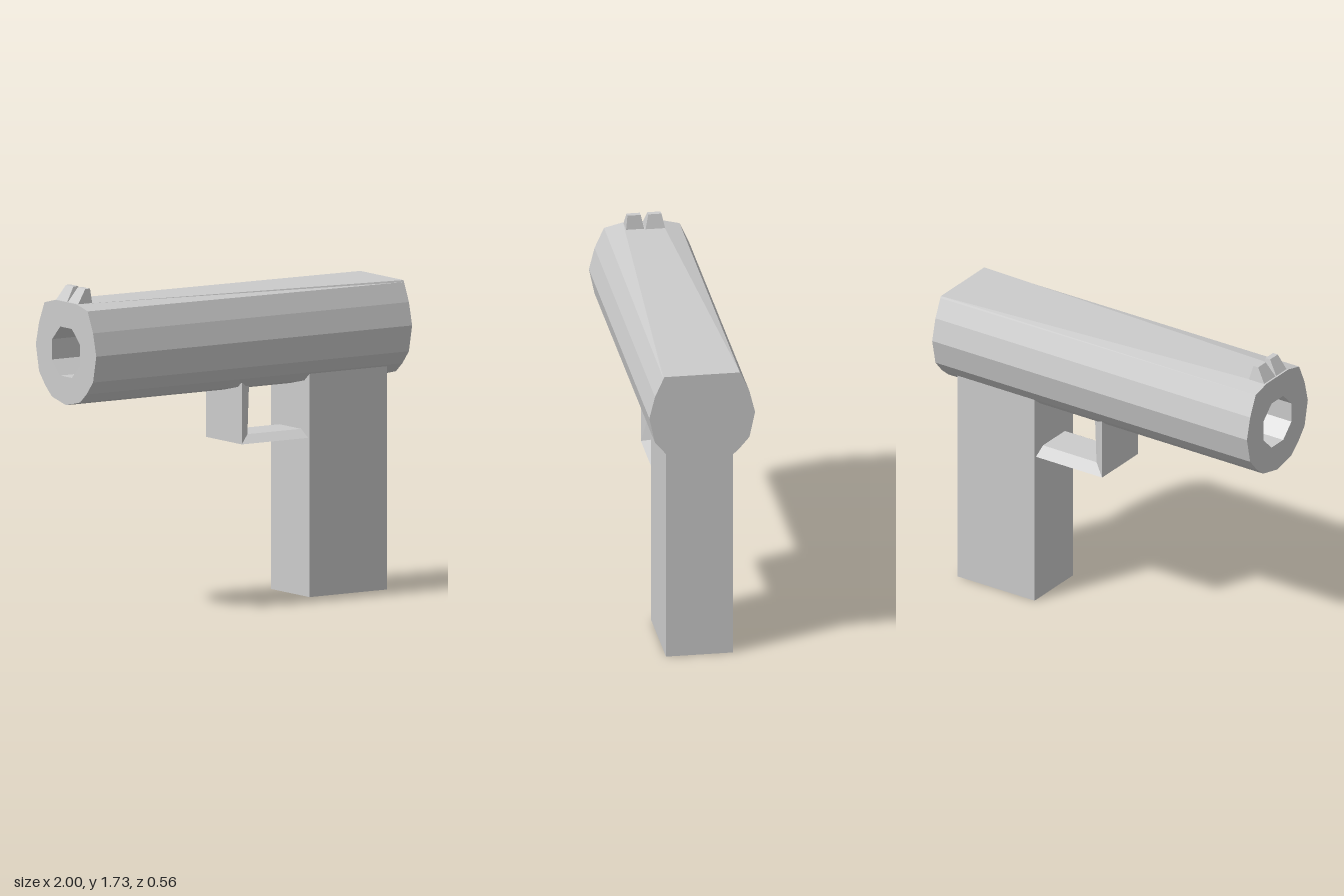
import * as THREE from 'three';

const material = new THREE.MeshStandardMaterial({ color: 0xcccccc, flatShading: true });

// Skin a list of equal-length rings of [x, y, z] points and close both ends.
function loft(name, rings) {
  const pos = [];
  const tri = (a, b, c) => pos.push(...a, ...b, ...c);
  const n = rings[0].length;
  const centre = (ring) => [0, 1, 2].map((k) => ring.reduce((s, p) => s + p[k], 0) / n);
  const first = rings[0], last = rings[rings.length - 1];
  const c0 = centre(first), c1 = centre(last);
  for (let i = 0; i < n; i++) {
    const j = (i + 1) % n;
    for (let k = 0; k + 1 < rings.length; k++) {
      const a = rings[k], b = rings[k + 1];
      tri(a[i], b[i], a[j]);
      tri(a[j], b[i], b[j]);
    }
    tri(c0, first[i], first[j]);
    tri(c1, last[j], last[i]);
  }
  const geometry = new THREE.BufferGeometry();
  geometry.setAttribute('position', new THREE.Float32BufferAttribute(pos, 3));
  geometry.computeVertexNormals();
  const mesh = new THREE.Mesh(geometry, material);
  mesh.name = name;
  return mesh;
}

// Mirror a half profile of [z, y] points, bottom to top, into a full ring at x.
function ringAt(x, half) {
  const left = half.map(([z, y]) => [x, y, z]);
  const right = half.slice(1, -1).reverse().map(([z, y]) => [x, y, -z]);
  return [...left, ...right];
}

// Eight-sided bore ring with a point at every corner and every edge middle.
function boreAt(x, radius = 0.14, y = 1.39) {
  return Array.from({ length: 16 }, (_, i) => {
    const a = (i / 16) * Math.PI * 2;
    const r = i % 2 ? radius : radius * Math.cos(Math.PI / 8);
    return [x, y - r * Math.cos(a), r * Math.sin(a)];
  });
}

export function createModel() {
  const model = new THREE.Group();
  model.name = 'pistol';

  // Barrel: hollow at the muzzle, its flat top widening towards the rear
  const lower = [[0, 1.11], [0.13, 1.14], [0.19, 1.19], [0.25, 1.26], [0.28, 1.4], [0.25, 1.52]];
  const muzzle = [...lower, [0.2, 1.63], [0.1, 1.655], [0, 1.655]];
  const rear = [...lower, [0.205, 1.62], [0.2, 1.63], [0, 1.63]];
  model.add(loft('barrel', [boreAt(-0.5), boreAt(-1), ringAt(-1, muzzle), ringAt(1, rear)]));

  // Grip
  const grip = new THREE.Mesh(new THREE.BoxGeometry(0.49, 1.18, 0.355), material);
  grip.position.set(0.665, 0.59, 0);
  grip.name = 'grip';
  model.add(grip);

  // Trigger guard: an L-shaped bar, narrower on its inner side
  const guardRing = ([ox, oy], [ix, iy]) => [
    [ox, oy, -0.165], [ox, oy, 0.165], [ix, iy, 0.1], [ix, iy, -0.1],
  ];
  model.add(loft('triggerGuard', [
    guardRing([0, 1.165], [0.09, 1.145]),
    guardRing([0, 0.84], [0.08, 0.88]),
    guardRing([0.43, 0.84], [0.43, 0.88]),
  ]));

  // Sight: two tapered posts with a notch between them
  const sightRing = (y, x0, x1, z0, z1) => [[x0, y, z1], [x0, y, z0], [x1, y, z0], [x1, y, z1]];
  model.add(loft('leftSightPost', [
    sightRing(1.64, -1, -0.9, 0, 0.1),
    sightRing(1.73, -0.94, -0.91, 0.02, 0.09),
  ]));
  model.add(loft('rightSightPost', [
    sightRing(1.64, -1, -0.89, -0.11, 0),
    sightRing(1.73, -0.94, -0.91, -0.09, -0.02),
  ]));

  return model;
}
